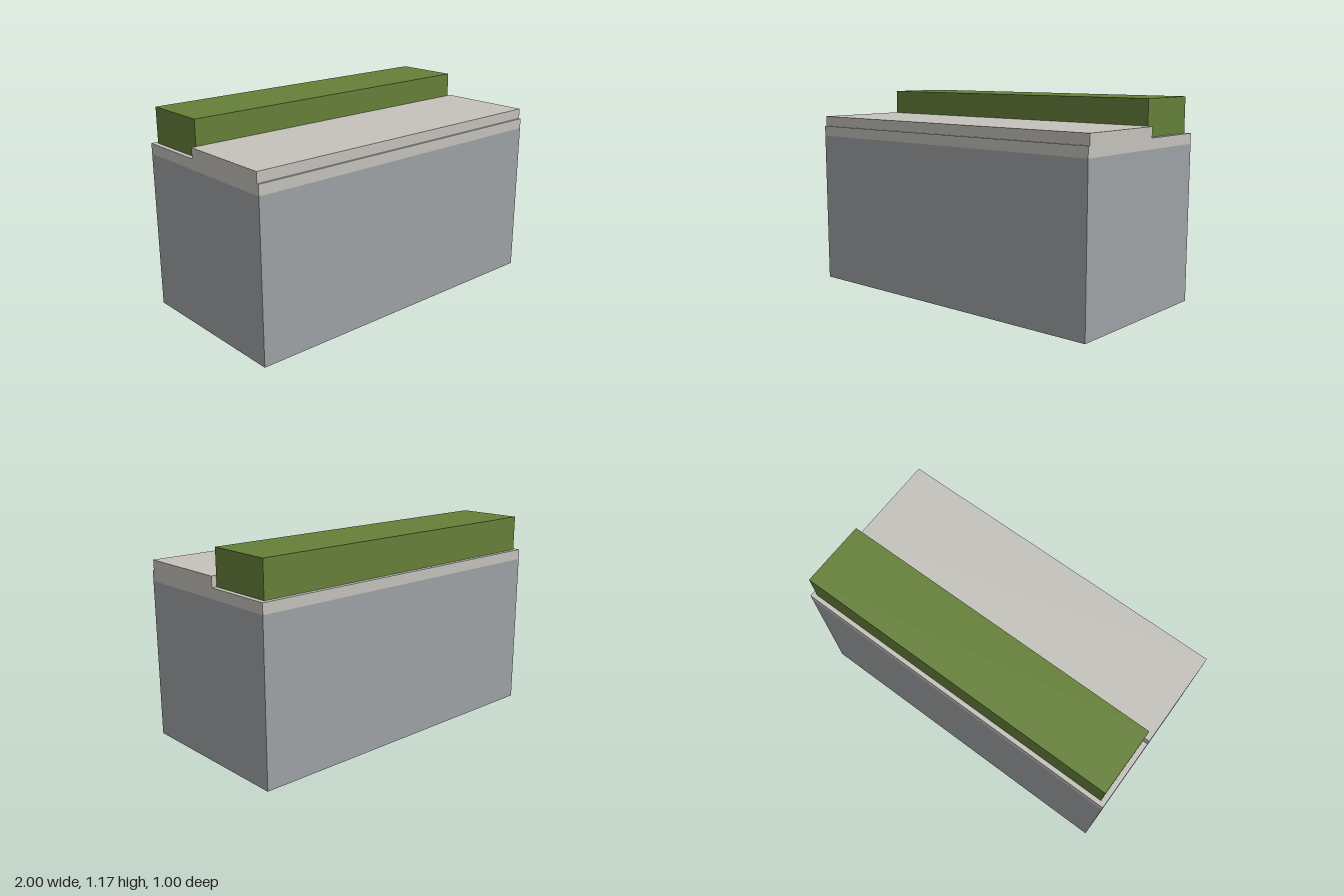
import * as THREE from 'three';

const material = (name, color) => {
  const m = new THREE.MeshStandardMaterial({ color });
  m.name = name;
  return m;
};

export function createModel() {
  const concrete = material('concrete grey', 0x9fa2a6);
  const stone = material('pale stone', 0xc4c2bb);
  const foliage = material('hedge green', 0x658039);

  const group = new THREE.Group();
  group.name = 'planterBench';

  // Box given by its extents: half width in x, then y and z ranges
  const block = (name, mat, halfX, y0, y1, z0, z1) => {
    const mesh = new THREE.Mesh(new THREE.BoxGeometry(halfX * 2, y1 - y0, z1 - z0), mat);
    mesh.name = name;
    mesh.position.set(0, (y0 + y1) / 2, (z0 + z1) / 2);
    group.add(mesh);
  };

  // Main body and the pale band capping it
  block('base', concrete, 1, 0, 0.91, -0.5, 0.5);
  block('capBand', stone, 1, 0.91, 0.97, -0.5, 0.5);
  // Raised slab, set back slightly from the front edge
  block('topSlab', stone, 1, 0.97, 1.03, -0.08, 0.488);
  // Hedge along the back
  block('hedge', foliage, 0.972, 0.97, 1.175, -0.475, -0.081);

  return group;
}
